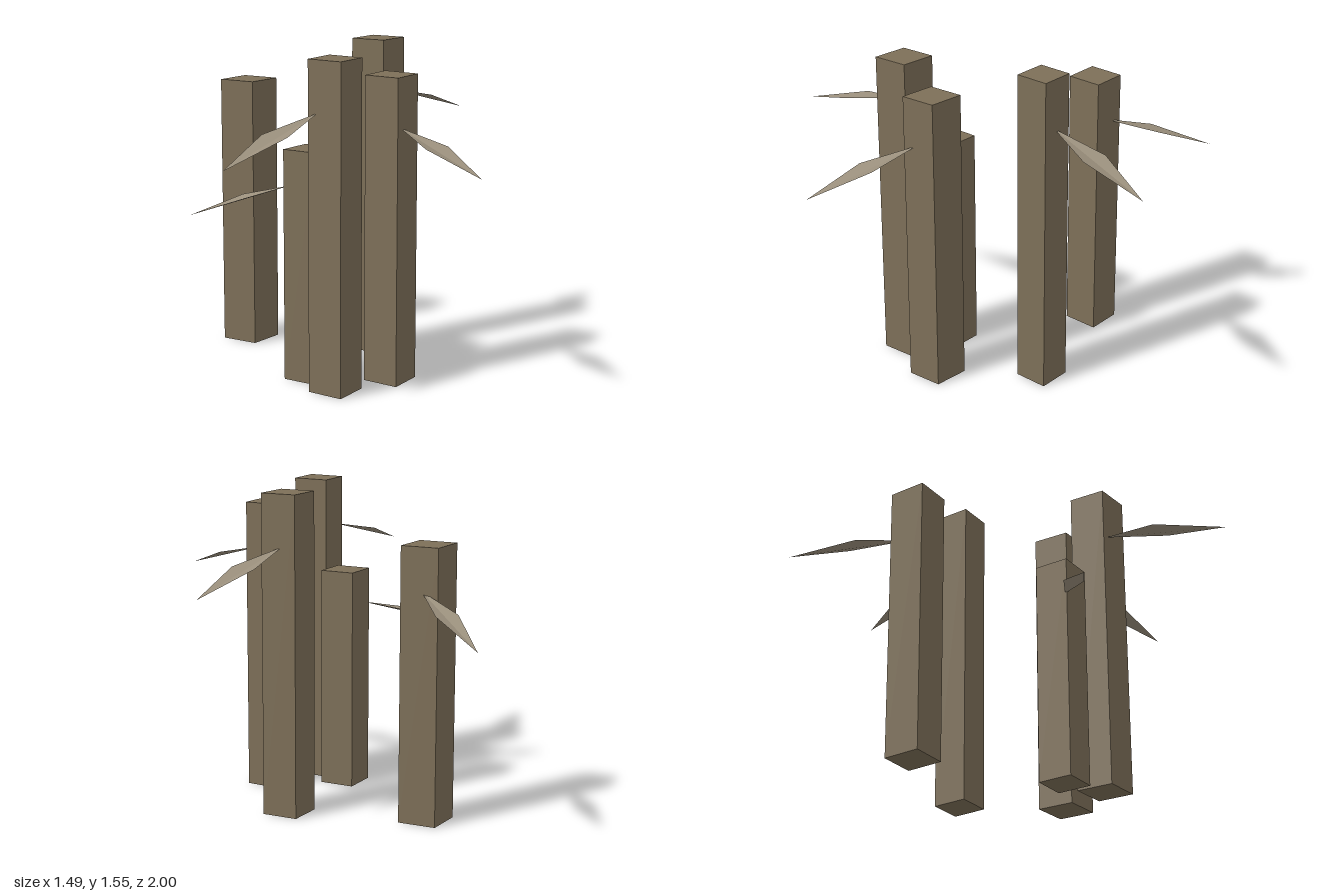
import * as THREE from 'three';

const stalkMaterial = new THREE.MeshStandardMaterial({ color: 0x7d6f58, flatShading: true });
const leafMaterial = new THREE.MeshStandardMaterial({ color: 0x9a8f7c, flatShading: true, side: THREE.DoubleSide });

// Stalk: centre x, z, radii along x, z and height.
// Leaf: base point, tip point and half width.
const PLANTS = [
  { stalk: [-0.37, -0.41, 0.138, 0.125, 1.33], base: [-0.32, 1.12, -0.45], tip: [-0.385, 0.945, -1.0], half: 0.057 },
  { stalk: [0.22, -0.105, 0.128, 0.118, 1.555], base: [0.26, 1.305, -0.15], tip: [0.745, 1.145, -0.5], half: 0.066 },
  { stalk: [-0.19, 0.315, 0.125, 0.12, 1.1], base: [-0.28, 0.93, 0.315], tip: [-0.745, 0.805, 0.295], half: 0.048 },
  { stalk: [-0.113, 0.525, 0.123, 0.132, 1.54], base: [-0.195, 1.3, 0.545], tip: [-0.68, 1.14, 1.0], half: 0.07 },
  { stalk: [0.172, 0.403, 0.123, 0.132, 1.445], base: [0.195, 1.21, 0.475], tip: [0.44, 1.06, 0.98], half: 0.064 },
];

// Four-sided post with its corners on the x and z axes
function makeStalk([x, z, rx, rz, height]) {
  const geometry = new THREE.CylinderGeometry(1, 1, height, 4);
  geometry.scale(rx, 1, rz);
  geometry.translate(x, height / 2, z);
  const mesh = new THREE.Mesh(geometry, stalkMaterial);
  mesh.name = 'stalk';
  return mesh;
}

// Pointed leaf folded gently along the line from base to tip
function makeLeaf(base, tip, half) {
  const a = new THREE.Vector3(...base);
  const b = new THREE.Vector3(...tip);
  const across = new THREE.Vector3(b.z - a.z, 0, a.x - b.x).normalize().multiplyScalar(half);
  const middle = a.clone().lerp(b, 0.47);
  middle.y += 0.015;
  const sideA = middle.clone().add(across);
  const sideB = middle.clone().sub(across);
  const geometry = new THREE.BufferGeometry().setFromPoints([a, sideA, b, sideB]);
  geometry.setIndex([0, 2, 1, 0, 3, 2]);
  const flat = geometry.toNonIndexed();
  flat.computeVertexNormals();
  // keep the front of the blade facing up
  if (flat.attributes.normal.getY(0) < 0) {
    geometry.setIndex([0, 1, 2, 0, 2, 3]);
    flat.copy(geometry.toNonIndexed());
    flat.computeVertexNormals();
  }
  const mesh = new THREE.Mesh(flat, leafMaterial);
  mesh.name = 'leaf';
  return mesh;
}

export function createModel() {
  const model = new THREE.Group();
  model.name = 'stalkCluster';
  for (const { stalk, base, tip, half } of PLANTS) {
    const plant = new THREE.Group();
    plant.name = 'plant';
    plant.add(makeStalk(stalk), makeLeaf(base, tip, half));
    model.add(plant);
  }
  return model;
}
